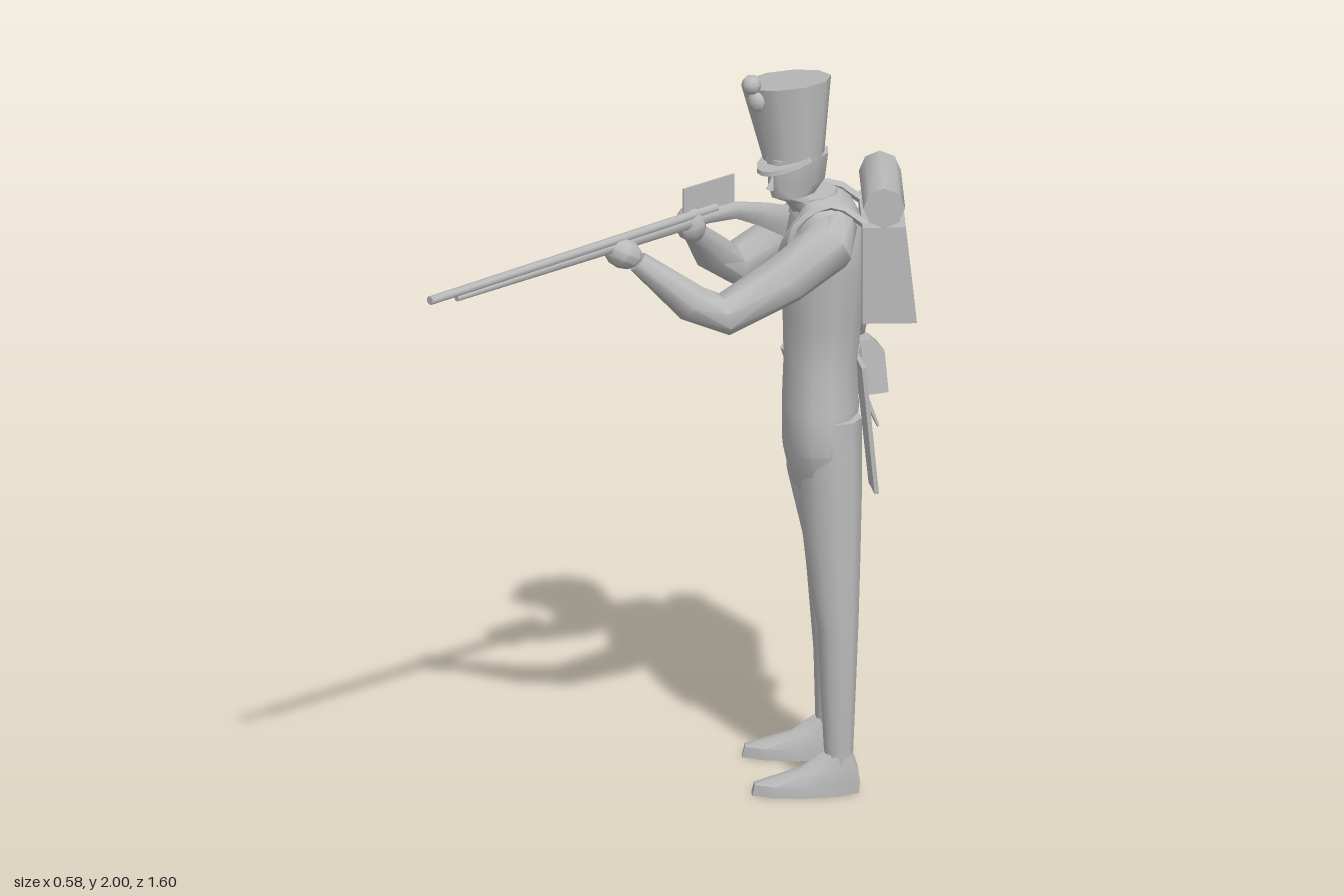
import * as THREE from 'three';
import { toCreasedNormals } from 'three/addons/utils/BufferGeometryUtils.js';

const grey = new THREE.MeshStandardMaterial({ color: 0xbababa });
grey.name = 'plain grey';
const thinGrey = grey; // one colour throughout

function add(parent, name, geometry, position = [0, 0, 0], rotation = [0, 0, 0]) {
  const mesh = new THREE.Mesh(toCreasedNormals(geometry, 0.8), thinGrey);
  mesh.name = name;
  mesh.position.set(...position);
  mesh.rotation.set(...rotation);
  parent.add(mesh);
  return mesh;
}

// Closed skin over elliptical sections [x, y, z, radiusU, radiusV].
// Level sections lie flat; otherwise each one faces along the path.
function loft(sections, { level = false, sides = 8 } = {}) {
  const centres = sections.map(s => new THREE.Vector3(s[0], s[1], s[2]));
  const n = centres.length, pos = [], index = [];
  sections.forEach((s, i) => {
    const t = level ? new THREE.Vector3(0, 1, 0)
      : centres[Math.min(i + 1, n - 1)].clone().sub(centres[Math.max(i - 1, 0)]).normalize();
    const u = new THREE.Vector3(1, 0, 0).addScaledVector(t, -t.x).normalize();
    const v = u.clone().cross(t);
    for (let j = 0; j < sides; j++) {
      const a = (j + 0.5) / sides * Math.PI * 2;
      const p = centres[i].clone().addScaledVector(u, Math.sin(a) * s[3])
        .addScaledVector(v, Math.cos(a) * (s[4] ?? s[3]));
      pos.push(p.x, p.y, p.z);
      if (i < n - 1) {
        const k = i * sides, q = (j + 1) % sides;
        index.push(k + j, k + q, k + sides + j, k + q, k + sides + q, k + sides + j);
      }
    }
  });
  const last = (n - 1) * sides;
  for (let j = 1; j < sides - 1; j++) index.push(0, j + 1, j, last, last + j, last + j + 1);
  const g = new THREE.BufferGeometry();
  g.setAttribute('position', new THREE.Float32BufferAttribute(pos, 3));
  g.setIndex(index);
  g.computeVertexNormals();
  return g;
}

function ball(rx, ry, rz) {
  return new THREE.SphereGeometry(1, 8, 6).scale(rx, ry, rz);
}

function createBody() {
  const body = new THREE.Group();
  body.name = 'body';
  body.position.set(0.02, 0, -0.51);
  body.rotation.y = -0.72;

  add(body, 'torso', loft([
    [0.02, 0.84, 0.015, 0.11, 0.075], [0.025, 0.95, 0.015, 0.155, 0.1], [0.015, 1.06, 0.01, 0.158, 0.105],
    [0.0, 1.17, 0.01, 0.143, 0.1], [0, 1.3, 0.005, 0.15, 0.108], [0, 1.45, 0, 0.165, 0.115],
    [0, 1.56, -0.005, 0.17, 0.1], [0, 1.62, 0, 0.12, 0.075], [0, 1.645, 0.01, 0.06, 0.055],
  ], { level: true, sides: 12 }));
  add(body, 'coatPoint', new THREE.ConeGeometry(0.05, 0.05, 4).scale(1.2, 1, 0.3), [-0.05, 1.165, 0.1], [Math.PI, 0, 0]);

  // Coat tails
  for (const side of [-1, 1]) {
    const tail = new THREE.BoxGeometry(0.13, 0.36, 0.012);
    const p = tail.attributes.position;
    for (let i = 0; i < p.count; i++) if (p.getY(i) < 0) p.setX(i, p.getX(i) * 0.8);
    add(body, side > 0 ? 'leftCoatTail' : 'rightCoatTail', tail, [0.005 + side * 0.068, 1.01, -0.112], [0.1, side * 0.12, 0]);
  }

  // Knapsack, deeper at the foot, with rolled blanket on top
  const pack = new THREE.BoxGeometry(0.31, 0.27, 0.115);
  const pp = pack.attributes.position;
  for (let i = 0; i < pp.count; i++) if (pp.getY(i) < 0 && pp.getZ(i) < 0) pp.setZ(i, pp.getZ(i) - 0.03);
  add(body, 'knapsack', pack, [-0.005, 1.455, -0.155]);
  add(body, 'blanketRoll', new THREE.CylinderGeometry(0.056, 0.056, 0.315, 8).rotateZ(Math.PI / 2), [-0.005, 1.645, -0.155]);
  for (const x of [-0.1, 0.1]) {
    const path = new THREE.CatmullRomCurve3([
      [x, 1.58, -0.11], [x, 1.635, -0.02], [x, 1.57, 0.08], [x * 1.25, 1.43, 0.085],
    ].map(q => new THREE.Vector3(...q)));
    add(body, 'knapsackStrap', new THREE.TubeGeometry(path, 10, 0.012, 4));
  }

  // Cross belt running from the left shoulder to the pouch
  const belt = new THREE.CatmullRomCurve3([
    [0.08, 1.62, 0.02], [0.04, 1.52, 0.1], [-0.07, 1.37, 0.105], [-0.195, 1.25, 0.03],
    [-0.16, 1.18, -0.09], [-0.08, 1.3, -0.105], [0.03, 1.5, -0.1],
  ].map(q => new THREE.Vector3(...q)), true);
  add(body, 'crossBelt', new THREE.TubeGeometry(belt, 32, 0.013, 4, true));

  // Cartridge pouch with sloping flap, and a scabbard
  const outline = new THREE.Shape([[-0.035, -0.07], [0.035, -0.07], [0.035, 0.045], [0, 0.08], [-0.03, 0.08]]
    .map(q => new THREE.Vector2(...q)));
  const pouch = new THREE.ExtrudeGeometry(outline, { depth: 0.125, bevelEnabled: false });
  pouch.translate(0, 0, -0.0625).rotateY(Math.PI / 2);
  add(body, 'cartridgePouch', pouch, [-0.125, 1.115, -0.125], [0.08, 0.15, 0.08]);
  add(body, 'scabbard', loft([[-0.16, 1.2, -0.06, 0.014], [-0.155, 1.05, -0.1, 0.012], [-0.15, 0.93, -0.15, 0.004]], { sides: 5 }));
  return body;
}

function createHead() {
  const head = new THREE.Group();
  head.name = 'head';
  add(head, 'face', loft([
    [0.01, 1.58, -0.49, 0.055, 0.055], [0.002, 1.635, -0.455, 0.046, 0.06], [-0.008, 1.652, -0.425, 0.045, 0.07],
    [-0.012, 1.69, -0.44, 0.066, 0.09], [-0.015, 1.76, -0.445, 0.075, 0.095],
  ], { level: true, sides: 10 }));
  add(head, 'nose', new THREE.ConeGeometry(0.014, 0.045, 4), [-0.012, 1.7, -0.348], [-0.25, 0, 0]);
  add(head, 'collar', new THREE.CylinderGeometry(0.06, 0.075, 0.05, 10), [0.01, 1.625, -0.487], [0.15, 0, 0]);
  add(head, 'tallHat', new THREE.CylinderGeometry(0.121, 0.08, 0.22, 10), [-0.034, 1.847, -0.437], [0, 0, 0.14]);
  add(head, 'visor', new THREE.CylinderGeometry(0.085, 0.088, 0.012, 8, 1, false, -Math.PI / 2, Math.PI).scale(0.9, 1, 1.3),
    [-0.015, 1.757, -0.425], [0.25, 0, 0.08]);
  add(head, 'pompon', ball(0.027, 0.027, 0.027), [-0.05, 1.973, -0.31]);
  add(head, 'hatBadge', ball(0.029, 0.029, 0.02), [-0.043, 1.925, -0.322]);
  return head;
}

function createFoot(name, position, yaw) {
  const foot = new THREE.Group();
  foot.name = name;
  foot.position.set(...position);
  foot.rotation.y = yaw;
  add(foot, 'shoe', loft([
    [0, 0, 0.09, 0.05, 0.15], [0, 0.03, 0.085, 0.05, 0.148], [0, 0.07, 0.025, 0.043, 0.08], [0, 0.115, 0, 0.036, 0.038],
  ], { level: true, sides: 10 }));
  return foot;
}

function createMusket() {
  const gun = new THREE.Group();
  gun.name = 'musket';
  add(gun, 'barrel', loft([[-0.125, 1.621, -0.25, 0.014], [-0.125, 1.606, 0.798, 0.012]]));
  add(gun, 'stock', loft([
    [-0.11, 1.53, -0.5, 0.016, 0.045], [-0.115, 1.565, -0.42, 0.018, 0.035], [-0.122, 1.6, -0.32, 0.018, 0.024],
    [-0.125, 1.606, -0.22, 0.018, 0.02], [-0.125, 1.6, 0.1, 0.014, 0.016], [-0.125, 1.59, 0.7, 0.009, 0.009],
  ]));
  add(gun, 'lockPlate', new THREE.BoxGeometry(0.005, 0.095, 0.185), [-0.13, 1.653, -0.228]);
  return gun;
}

export function createModel() {
  const model = new THREE.Group();
  model.name = 'soldierTakingAim';
  model.add(createBody(), createHead(), createMusket());

  // Legs, left one forward
  add(model, 'leftLeg', loft([
    [0.148, 0.07, -0.443, 0.037, 0.038], [0.143, 0.3, -0.445, 0.05, 0.047], [0.139, 0.46, -0.448, 0.057, 0.054],
    [0.114, 0.62, -0.455, 0.078, 0.066], [0.094, 0.84, -0.46, 0.096, 0.078], [0.085, 1.04, -0.465, 0.096, 0.085],
  ], { level: true, sides: 10 }));
  add(model, 'rightLeg', loft([
    [-0.086, 0.07, -0.63, 0.037, 0.038], [-0.075, 0.3, -0.625, 0.051, 0.043], [-0.07, 0.48, -0.608, 0.056, 0.048],
    [-0.05, 0.63, -0.574, 0.054, 0.052], [-0.046, 0.84, -0.53, 0.068, 0.072], [-0.025, 1.04, -0.525, 0.09, 0.08],
  ], { level: true, sides: 10 }));
  model.add(createFoot('leftFoot', [0.148, 0, -0.443], -0.67), createFoot('rightFoot', [-0.086, 0, -0.63], -0.76));

  // Arms and hands
  add(model, 'leftArm', loft([
    [0.1, 1.58, -0.49, 0.05], [0.145, 1.545, -0.41, 0.075], [0.105, 1.47, -0.29, 0.07], [0.025, 1.385, -0.14, 0.058],
    [-0.015, 1.425, -0.06, 0.053], [-0.1, 1.55, 0.06, 0.03],
  ]));
  add(model, 'leftHand', ball(0.054, 0.042, 0.056), [-0.126, 1.574, 0.09], [-0.5, -0.5, 0]);
  add(model, 'rightArm', loft([
    [-0.03, 1.58, -0.6, 0.05], [-0.09, 1.55, -0.635, 0.07], [-0.185, 1.465, -0.56, 0.066], [-0.237, 1.395, -0.42, 0.06],
    [-0.215, 1.46, -0.32, 0.052], [-0.16, 1.56, -0.2, 0.03],
  ]));
  add(model, 'rightHand', ball(0.042, 0.052, 0.045), [-0.142, 1.59, -0.175], [0.3, 0.3, 0]);
  return model;
}
